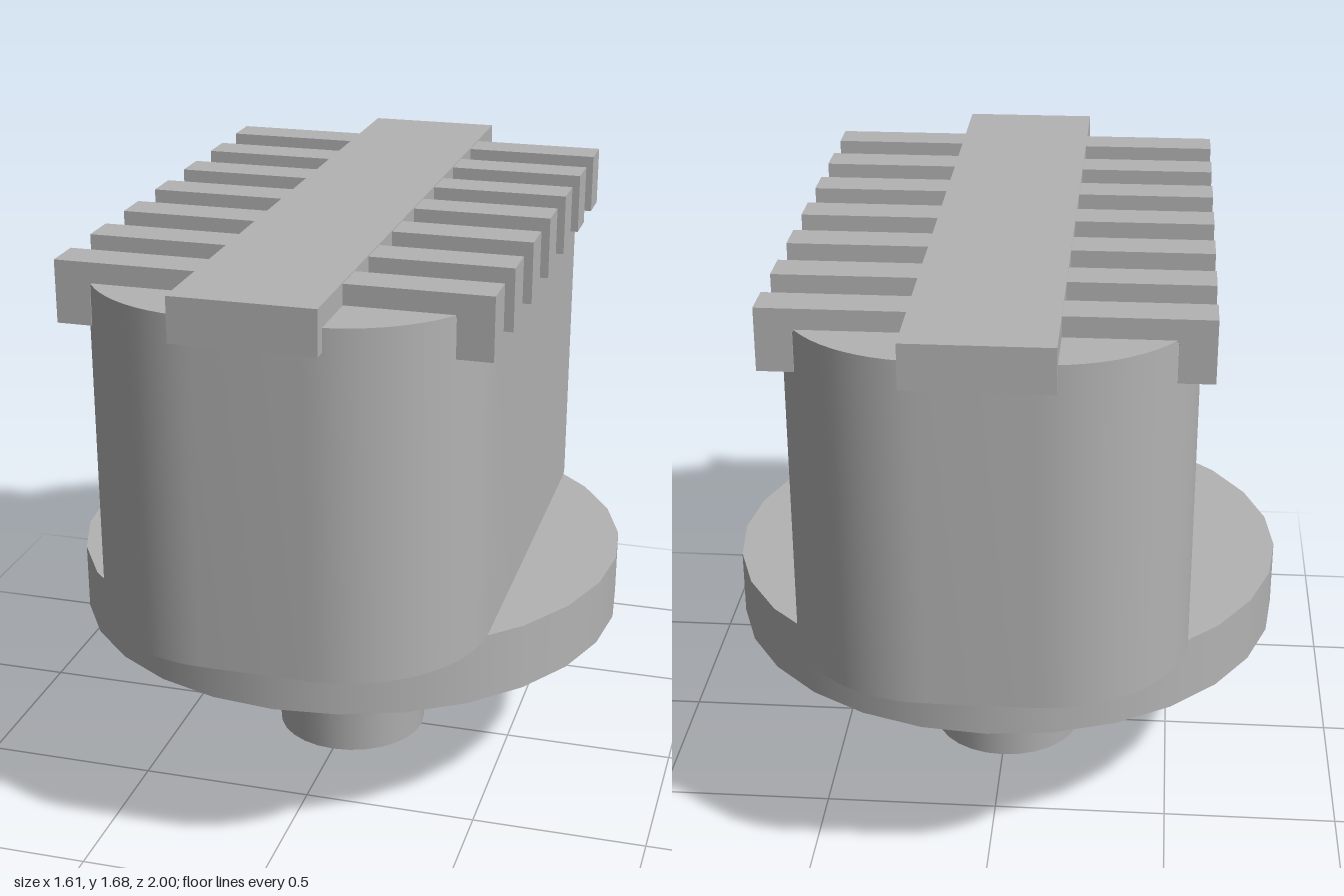
import * as THREE from 'three';
import { toCreasedNormals } from 'three/addons/utils/BufferGeometryUtils.js';

export function createModel() {
  const model = new THREE.Group();
  const grey = new THREE.MeshStandardMaterial({ color: 0xb3b3b3 });
  grey.name = 'plain grey';

  const add = (name, geometry, x = 0, y = 0, z = 0) => {
    const mesh = new THREE.Mesh(geometry, grey);
    mesh.name = name;
    mesh.position.set(x, y, z);
    model.add(mesh);
    return mesh;
  };

  // Tapered stem and round flange
  add('stem', new THREE.CylinderGeometry(0.258, 0.225, 0.457, 28), 0, 0.2285, 0);
  add('flange', new THREE.CylinderGeometry(0.805, 0.805, 0.193, 28), 0, 0.5515, 0);

  // Body: rounded rectangle extruded upwards
  const w = 0.545, d = 0.966, r = 0.4;
  const plan = new THREE.Shape();
  plan.absarc(w - r, d - r, r, 0, Math.PI / 2);
  plan.absarc(r - w, d - r, r, Math.PI / 2, Math.PI);
  plan.absarc(r - w, r - d, r, Math.PI, Math.PI * 1.5);
  plan.absarc(w - r, r - d, r, Math.PI * 1.5, Math.PI * 2);
  plan.closePath();
  const body = new THREE.ExtrudeGeometry(plan, { depth: 0.97, bevelEnabled: false, curveSegments: 8 });
  body.rotateX(-Math.PI / 2);
  add('body', toCreasedNormals(body, 0.6), 0, 0.648, 0);

  // Central spine along the top
  add('spine', new THREE.BoxGeometry(0.386, 0.122, 2), 0, 1.616, 0);

  // Cross ribs with legs hooking over the body sides
  const rib = new THREE.Shape([
    [-0.58, 1.503], [-0.484, 1.503], [-0.484, 1.612], [0.484, 1.612],
    [0.484, 1.503], [0.58, 1.503], [0.58, 1.674], [-0.58, 1.674],
  ].map(([x, y]) => new THREE.Vector2(x, y)));
  const ribGeometry = new THREE.ExtrudeGeometry(rib, { depth: 0.11, bevelEnabled: false });
  ribGeometry.translate(0, 0, -0.055);
  for (let i = -3; i <= 3; i++) add('rib' + (i + 4), ribGeometry, 0, 0, i * 0.2425 - 0.002);

  return model;
}
